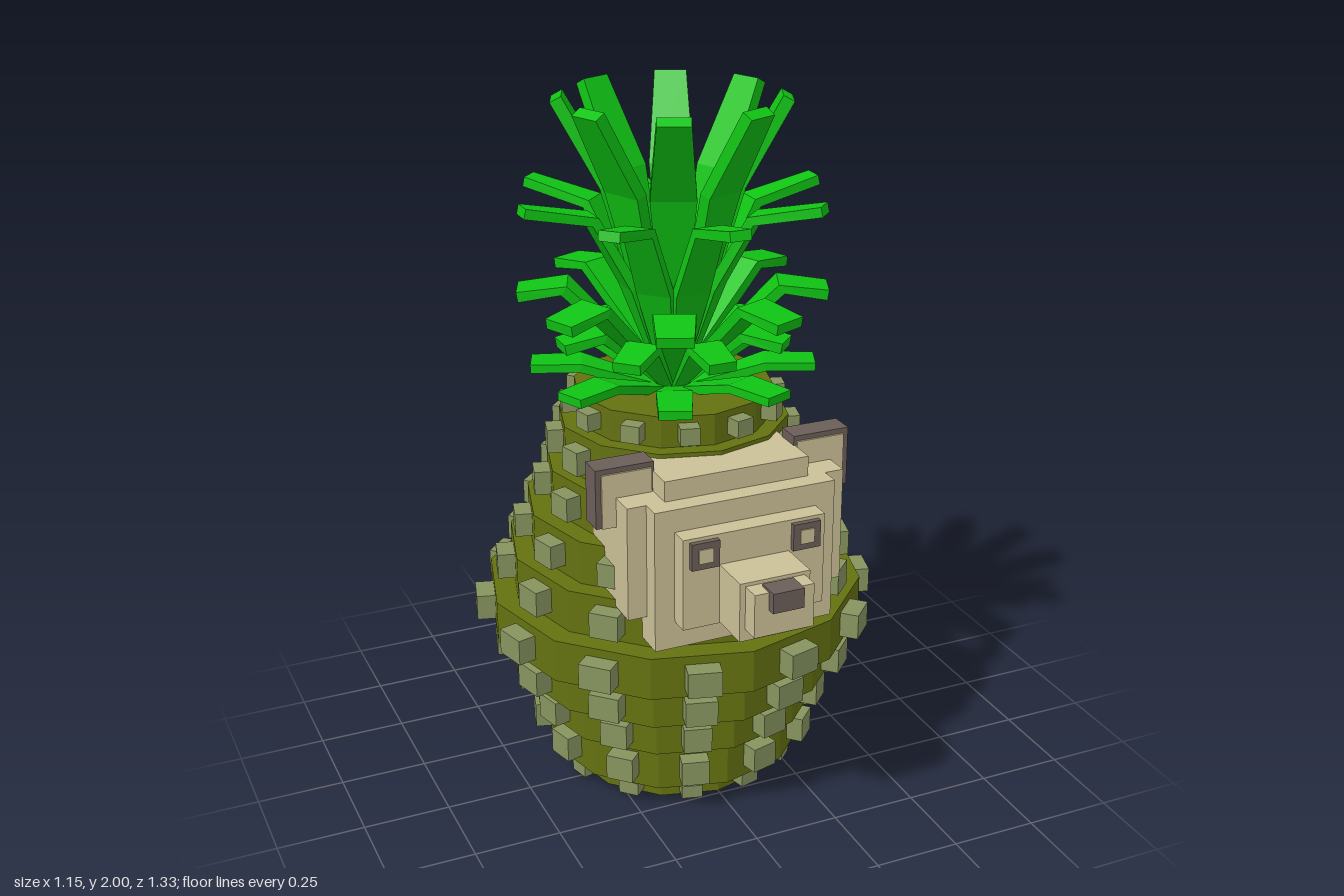
import * as THREE from 'three';

const mat = (name, color) => {
  const m = new THREE.MeshStandardMaterial({ color });
  m.name = name;
  return m;
};

// Flat-shaded blade: rectangular cross-sections swept along [radius, height, width] points
function leafGeometry(points, thick) {
  const pos = [], idx = [];
  points.forEach(([r, y, w], i) => {
    const a = points[Math.max(i - 1, 0)], b = points[Math.min(i + 1, points.length - 1)];
    const len = Math.hypot(b[0] - a[0], b[1] - a[1]);
    const nr = -(b[1] - a[1]) / len * thick / 2, ny = (b[0] - a[0]) / len * thick / 2;
    for (const [sx, sn] of [[1, 1], [-1, 1], [-1, -1], [1, -1]]) {
      pos.push(sx * w / 2, y + sn * ny, r + sn * nr);
    }
  });
  for (let i = 0; i < points.length - 1; i++) {
    for (let k = 0; k < 4; k++) {
      const a = i * 4 + k, b = i * 4 + (k + 1) % 4;
      idx.push(a, b, b + 4, a, b + 4, a + 4);
    }
  }
  const e = (points.length - 1) * 4;
  idx.push(e, e + 1, e + 2, e, e + 2, e + 3, 2, 1, 0, 3, 2, 0);
  const g = new THREE.BufferGeometry();
  g.setAttribute('position', new THREE.Float32BufferAttribute(pos, 3));
  g.setIndex(idx);
  const flat = g.toNonIndexed();
  flat.computeVertexNormals();
  return flat;
}

export function createModel() {
  const olive = mat('olive rind', 0x647210);
  const sage = mat('sage studs', 0x87945f);
  const green = mat('leaf green', 0x10c414);
  const cream = mat('cream fur', 0xcbc096);
  const dark = mat('dark brown', 0x6b5e59);
  olive.flatShading = true;

  const model = new THREE.Group();
  const fruit = new THREE.Group();
  fruit.name = 'fruit';
  fruit.position.z = -0.088;
  model.add(fruit);

  // Stacked twelve-sided tiers with a stud on every side: [bottom, top, radius, stud width, stud height]
  const tiers = [
    [0, 0.067, 0.325, 0.06, 0.04],
    [0.067, 0.207, 0.39, 0.08, 0.075],
    [0.207, 0.335, 0.43, 0.08, 0.075],
    [0.335, 0.457, 0.495, 0.09, 0.075],
    [0.457, 0.583, 0.55, 0.095, 0.075],
    [0.583, 0.71, 0.485, 0.085, 0.075],
    [0.71, 0.837, 0.43, 0.08, 0.07],
    [0.837, 0.963, 0.37, 0.075, 0.07],
    [0.963, 1.09, 0.33, 0.07, 0.07],
    [1.09, 1.18, 0.285, 0.055, 0.05],
  ];
  tiers.forEach(([y0, y1, r, w, h], t) => {
    const tier = new THREE.Mesh(new THREE.CylinderGeometry(r, r, y1 - y0, 12), olive);
    tier.name = 'rindTier';
    tier.position.y = (y0 + y1) / 2;
    fruit.add(tier);
    const studGeo = new THREE.BoxGeometry(w, h, 0.09);
    for (let i = 0; i < 12; i++) {
      // the head takes the place of the front studs
      if (t >= 5 && t <= 8 && (i === 0 || i === 11)) continue;
      const a = (i + 0.5) * Math.PI / 6;
      const d = r + 0.035 - 0.045;
      const stud = new THREE.Mesh(studGeo, sage);
      stud.name = 'stud';
      stud.position.set(Math.sin(a) * d, (y0 + y1) / 2, Math.cos(a) * d);
      stud.rotation.y = a;
      fruit.add(stud);
    }
  });

  // Crown: five rings of eight bent leaves, alternating by half a step
  const rings = [
    [0.5, 0.025, [[0.03, 1.16, 0.04], [0.26, 1.235, 0.1], [0.4, 1.232, 0.09]]],
    [0, 0.03, [[0.02, 1.17, 0.03], [0.22, 1.35, 0.1], [0.335, 1.33, 0.08]]],
    [0.5, 0.03, [[0.02, 1.18, 0.03], [0.3, 1.465, 0.115], [0.43, 1.445, 0.1]]],
    [0, 0.028, [[0.02, 1.18, 0.03], [0.13, 1.48, 0.1], [0.24, 1.68, 0.085], [0.435, 1.722, 0.06]]],
    [0.5, 0.035, [[0.02, 1.18, 0.03], [0.18, 1.76, 0.125], [0.31, 1.992, 0.09]]],
  ];
  const crown = new THREE.Group();
  crown.name = 'crown';
  for (const [phase, thick, points] of rings) {
    const geo = leafGeometry(points, thick);
    for (let i = 0; i < 8; i++) {
      const leaf = new THREE.Mesh(geo, green);
      leaf.name = 'leaf';
      leaf.rotation.y = (i + phase) * Math.PI / 4;
      crown.add(leaf);
    }
  }
  fruit.add(crown);

  // Head made of blocks given by their limits
  const head = new THREE.Group();
  head.name = 'head';
  model.add(head);
  const block = (name, material, x0, x1, y0, y1, z0, z1) => {
    const m = new THREE.Mesh(new THREE.BoxGeometry(x1 - x0, y1 - y0, z1 - z0), material);
    m.name = name;
    m.position.set((x0 + x1) / 2, (y0 + y1) / 2, (z0 + z1) / 2);
    head.add(m);
  };
  block('cheeks', cream, -0.32, 0.32, 0.69, 1.02, 0.09, 0.345);
  block('skull', cream, -0.265, 0.265, 0.61, 1.02, 0.12, 0.4);
  block('forehead', cream, -0.212, 0.212, 0.98, 1.078, 0.15, 0.345);
  block('face', cream, -0.208, 0.208, 0.69, 0.955, 0.38, 0.455);
  block('snout', cream, -0.102, 0.102, 0.695, 0.865, 0.44, 0.58);
  block('snoutTip', cream, -0.086, 0.086, 0.73, 0.855, 0.57, 0.635);
  block('nose', dark, -0.045, 0.045, 0.805, 0.862, 0.595, 0.66);

  // Ears and eyes, mirrored
  const pair = (name, material, x0, x1, ...rest) => {
    block(name, material, x0, x1, ...rest);
    block(name, material, -x1, -x0, ...rest);
  };
  pair('ear', dark, 0.208, 0.376, 0.935, 1.105, 0.193, 0.264);
  pair('earFront', cream, 0.216, 0.36, 0.935, 1.09, 0.262, 0.27);
  pair('eye', dark, 0.108, 0.189, 0.868, 0.945, 0.45, 0.47);
  pair('eyeCentre', cream, 0.128, 0.169, 0.886, 0.927, 0.468, 0.474);

  return model;
}
